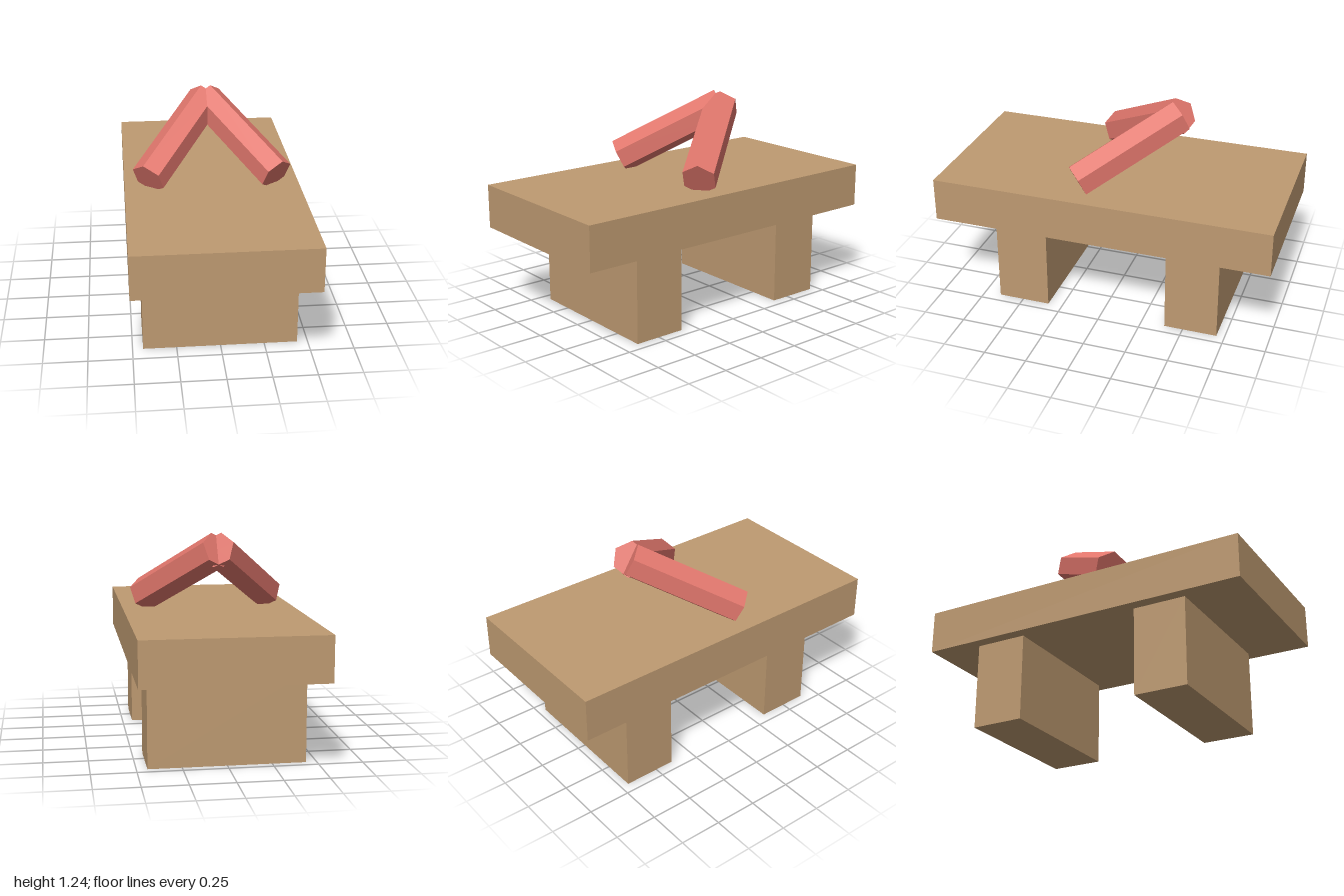
import * as THREE from 'three';

export function createModel() {
  const model = new THREE.Group();
  const wood = new THREE.MeshStandardMaterial({ color: 0xbe9a71 });
  wood.name = 'wood';
  const red = new THREE.MeshStandardMaterial({ color: 0xe0766c, flatShading: true });
  red.name = 'red';

  const addBox = (name, size, position) => {
    const mesh = new THREE.Mesh(new THREE.BoxGeometry(...size), wood);
    mesh.name = name;
    mesh.position.set(...position);
    model.add(mesh);
  };

  // Thick top on two slab legs
  addBox('tableTop', [1.02, 0.256, 2], [0, 0.639, 0]);
  addBox('frontLeg', [0.88, 0.511, 0.312], [0, 0.2555, 0.493]);
  addBox('backLeg', [0.88, 0.511, 0.312], [0, 0.2555, -0.546]);

  // Two hexagonal rods leaning back and meeting on the centre line
  for (const side of [-1, 1]) {
    const foot = new THREE.Vector3(side * 0.373, 0.835, 0.157);
    const apex = new THREE.Vector3(0, 1.146, -0.335);
    const axis = apex.clone().sub(foot);
    const length = axis.length();
    axis.normalize();
    // Keep one edge of the hexagon uppermost
    const up = new THREE.Vector3(0, 1, 0).addScaledVector(axis, -axis.y).normalize();
    const across = axis.clone().cross(up);
    const rod = new THREE.Mesh(new THREE.CylinderGeometry(0.104, 0.104, length, 6), red);
    rod.name = side > 0 ? 'leftRod' : 'rightRod';
    rod.quaternion.setFromRotationMatrix(new THREE.Matrix4().makeBasis(across, axis, up));
    rod.position.copy(foot).add(apex).multiplyScalar(0.5);
    model.add(rod);
  }
  return model;
}
